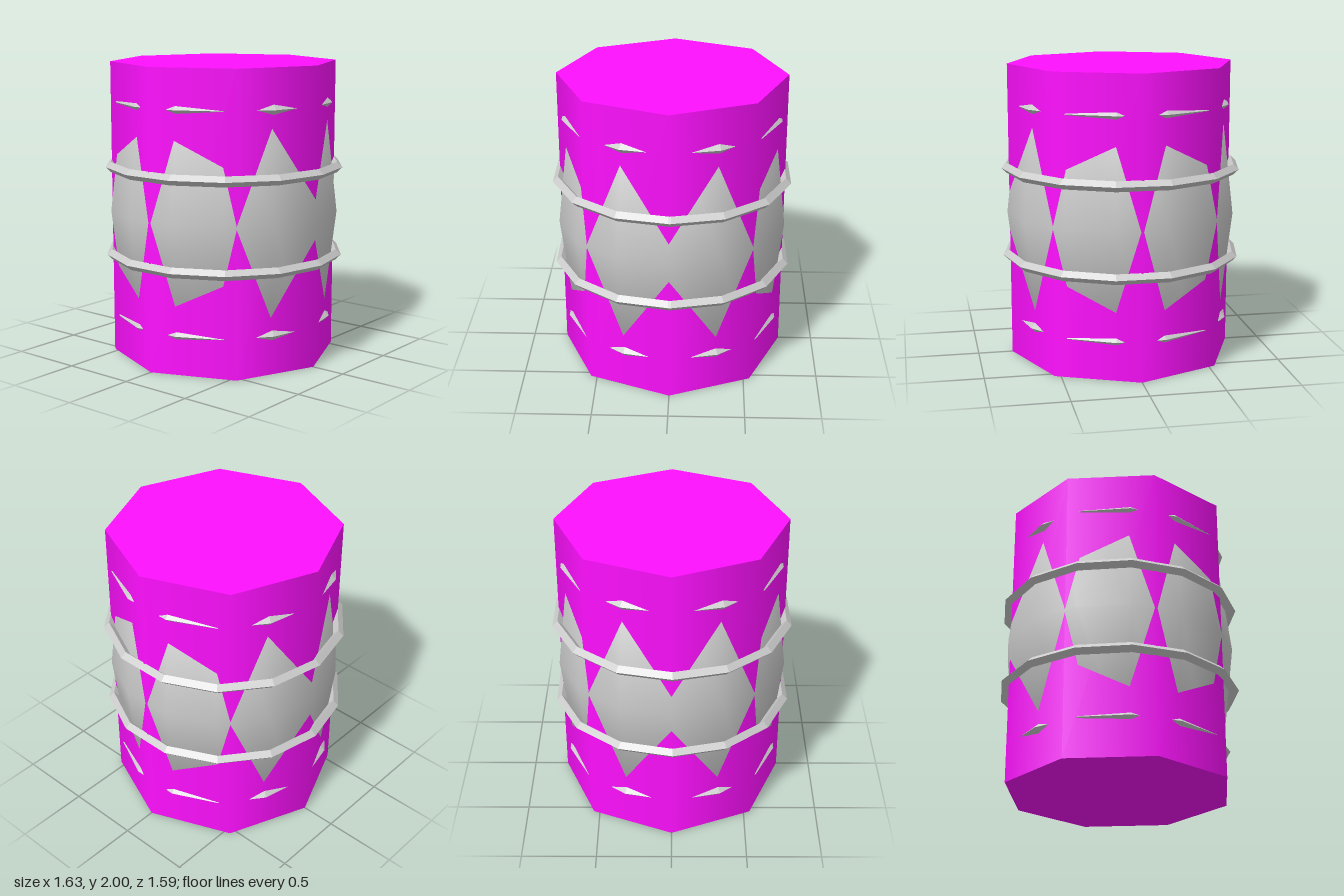
import * as THREE from 'three';

const H = 2, MID = H / 2;

export function createModel() {
  const group = new THREE.Group();
  const magenta = new THREE.MeshStandardMaterial({ color: 0xff10ff });
  const grey = new THREE.MeshStandardMaterial({ color: 0xcccccc });
  const ringGrey = new THREE.MeshStandardMaterial({ color: 0xcccccc, flatShading: true, side: THREE.DoubleSide });

  const add = (name, geometry, material, y = 0) => {
    const mesh = new THREE.Mesh(geometry, material);
    mesh.name = name;
    mesh.position.y = y;
    group.add(mesh);
  };

  // Eight-sided drum with smooth sides and flat caps
  add('drum', new THREE.CylinderGeometry(0.765, 0.765, H, 8), magenta, MID);

  // Bulging fourteen-sided barrel that shows through the drum's flat sides
  const profile = [[0, 0.04], [0.667, 0.04], [0.781, MID], [0.667, 1.96], [0, 1.96]]
    .map(([r, y]) => new THREE.Vector2(r, y));
  const barrel = new THREE.LatheGeometry(profile, 14);
  barrel.rotateY(Math.PI / 2); // a corner on +x
  add('barrel', barrel, grey);

  // Diamond-section hoops in mirrored pairs; their ends overlap slightly on +x
  const hoops = [['wideHoop', 0.78, 0.3], ['narrowHoop', 0.705, 0.735]];
  for (const [name, radius, offset] of hoops) {
    const hoop = new THREE.TorusGeometry(radius, 0.035, 4, 14, 6.3);
    hoop.rotateX(-Math.PI / 2);
    add(name + 'Upper', hoop, ringGrey, MID + offset);
    add(name + 'Lower', hoop, ringGrey, MID - offset);
  }
  return group;
}
